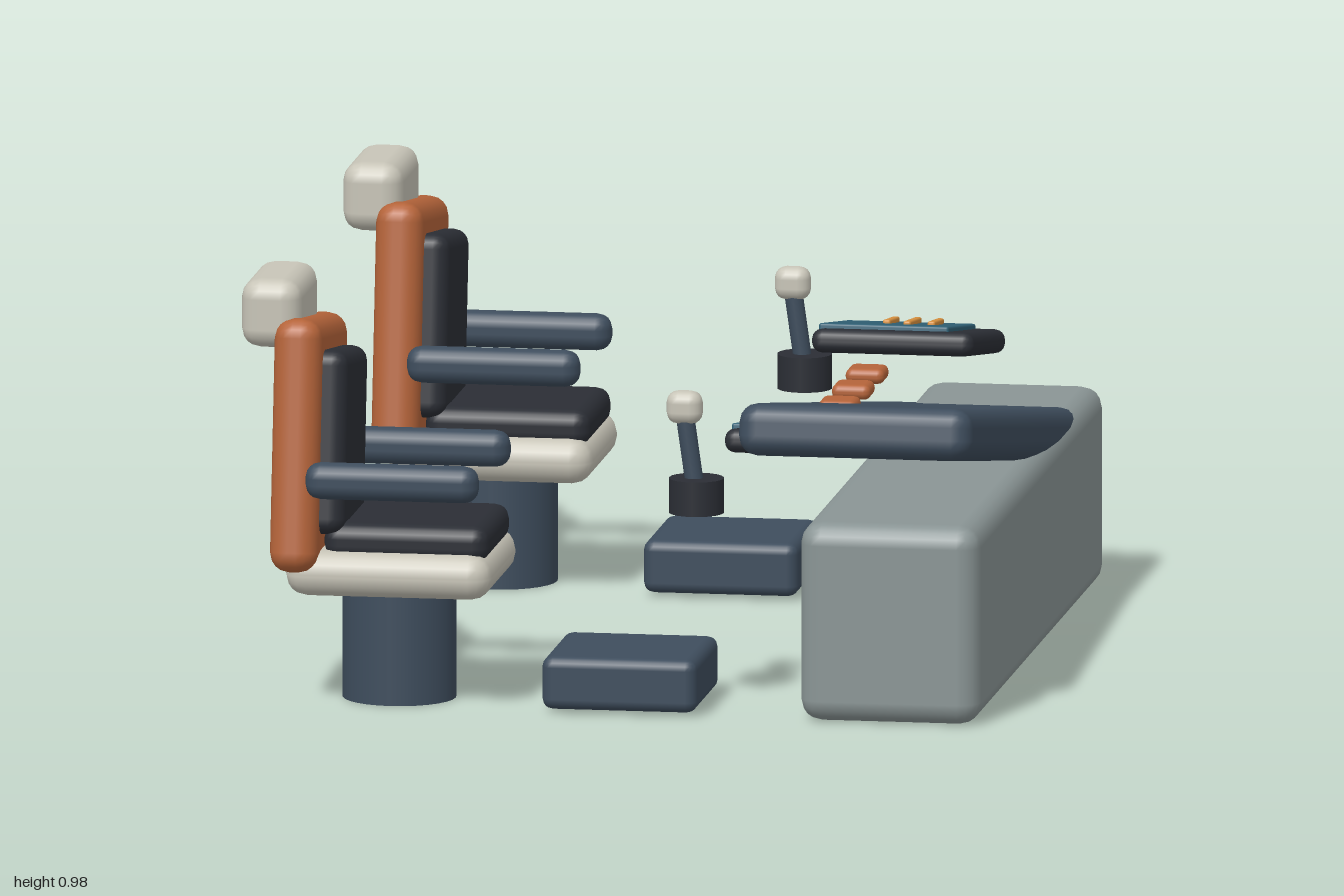
import * as THREE from 'three';
import { RoundedBoxGeometry } from 'three/addons/geometries/RoundedBoxGeometry.js';

const mat = (color) => new THREE.MeshStandardMaterial({ color });
const navy = mat(0x3e4d5d), dark = mat(0x2b2e35), orange = mat(0xb5643a), cream = mat(0xc8c5b8);
const grey = mat(0x8a9595), teal = mat(0x2f6075), amber = mat(0xd9913f);

function add(parent, name, geometry, material, x, y, z, rx = 0, rz = 0) {
  const mesh = new THREE.Mesh(geometry, material);
  mesh.name = name;
  mesh.position.set(x, y, z);
  mesh.rotation.set(rx, 0, rz);
  parent.add(mesh);
  return mesh;
}

const box = (w, h, d, r) => new RoundedBoxGeometry(w, h, d, 2, r);

function group(parent, name, x, y, z) {
  const g = new THREE.Group();
  g.name = name;
  g.position.set(x, y, z);
  parent.add(g);
  return g;
}

// Swivel chair facing +x
function addChair(parent, z) {
  const chair = group(parent, 'chair', 0, 0, z);
  add(chair, 'pedestal', new THREE.CylinderGeometry(0.13, 0.13, 0.28, 28), navy, -0.51, 0.14, 0);
  add(chair, 'seatBase', box(0.475, 0.105, 0.44, 0.05), cream, -0.507, 0.312, 0);
  add(chair, 'seatCushion', box(0.38, 0.085, 0.355, 0.035), dark, -0.47, 0.383, 0);
  add(chair, 'backrest', box(0.11, 0.58, 0.45, 0.045), orange, -0.72, 0.582, 0, -0.14);
  add(chair, 'backPad', box(0.09, 0.42, 0.34, 0.035), dark, -0.655, 0.59, 0, -0.14);
  add(chair, 'headrest', box(0.14, 0.16, 0.3, 0.045), cream, -0.787, 0.9, 0);
  for (const side of [-1, 1]) {
    add(chair, 'armrest', box(0.4, 0.085, 0.075, 0.035), navy, -0.49, 0.537, side * 0.23);
  }
}

// Joystick on a round base, leaning towards the chair
function addJoystick(parent, z) {
  const stick = group(parent, 'joystick', 0, 0, z);
  add(stick, 'joystickBase', new THREE.CylinderGeometry(0.063, 0.063, 0.08, 20), dark, 0.183, 0.495, 0);
  add(stick, 'joystickShaft', new THREE.CylinderGeometry(0.021, 0.021, 0.18, 14), navy, 0.169, 0.59, 0, 0, 0.14);
  add(stick, 'joystickKnob', box(0.083, 0.077, 0.062, 0.028), cream, 0.156, 0.698, 0);
}

// Sloped display with a screen and three indicator bars
function addDisplay(parent, z) {
  const display = group(parent, 'display', 0.447, 0.6, z);
  display.rotation.x = -0.165;
  add(display, 'displayHousing', box(0.375, 0.055, 0.5, 0.025), dark, 0, 0, 0);
  add(display, 'screen', box(0.3, 0.018, 0.4, 0.006), teal, -0.027, 0.03, 0);
  [[-0.048, -0.045, 0.14], [0.008, 0, 0.165], [0.063, 0.008, 0.135]].forEach(([x, dz, len]) => {
    add(display, 'indicatorBar', box(0.018, 0.014, len, 0.005), amber, x, 0.043, dz, 0.04);
  });
}

export function createModel() {
  const model = new THREE.Group();
  model.name = 'controlStation';

  // Console block with the sloping desk slab
  add(model, 'consoleBase', box(0.415, 0.46, 1.85, 0.05), grey, 0.647, 0.23, 0);
  add(model, 'deskTop', box(0.54, 0.12, 1.98, 0.045), navy, 0.575, 0.51, 0, -0.18);

  // Buttons along the desk
  for (const z of [-0.2, 0, 0.2]) {
    add(model, 'button', box(0.09, 0.035, 0.088, 0.016), orange, 0.42, 0.602, z);
  }

  // Two matching workstations
  for (const side of [-1, 1]) {
    addChair(model, side * 0.734);
    add(model, 'footrest', box(0.357, 0.123, 0.345, 0.025), navy, 0.022, 0.07, side * 0.734);
    addJoystick(model, side * 0.783);
    addDisplay(model, side * 0.63);
  }
  return model;
}
